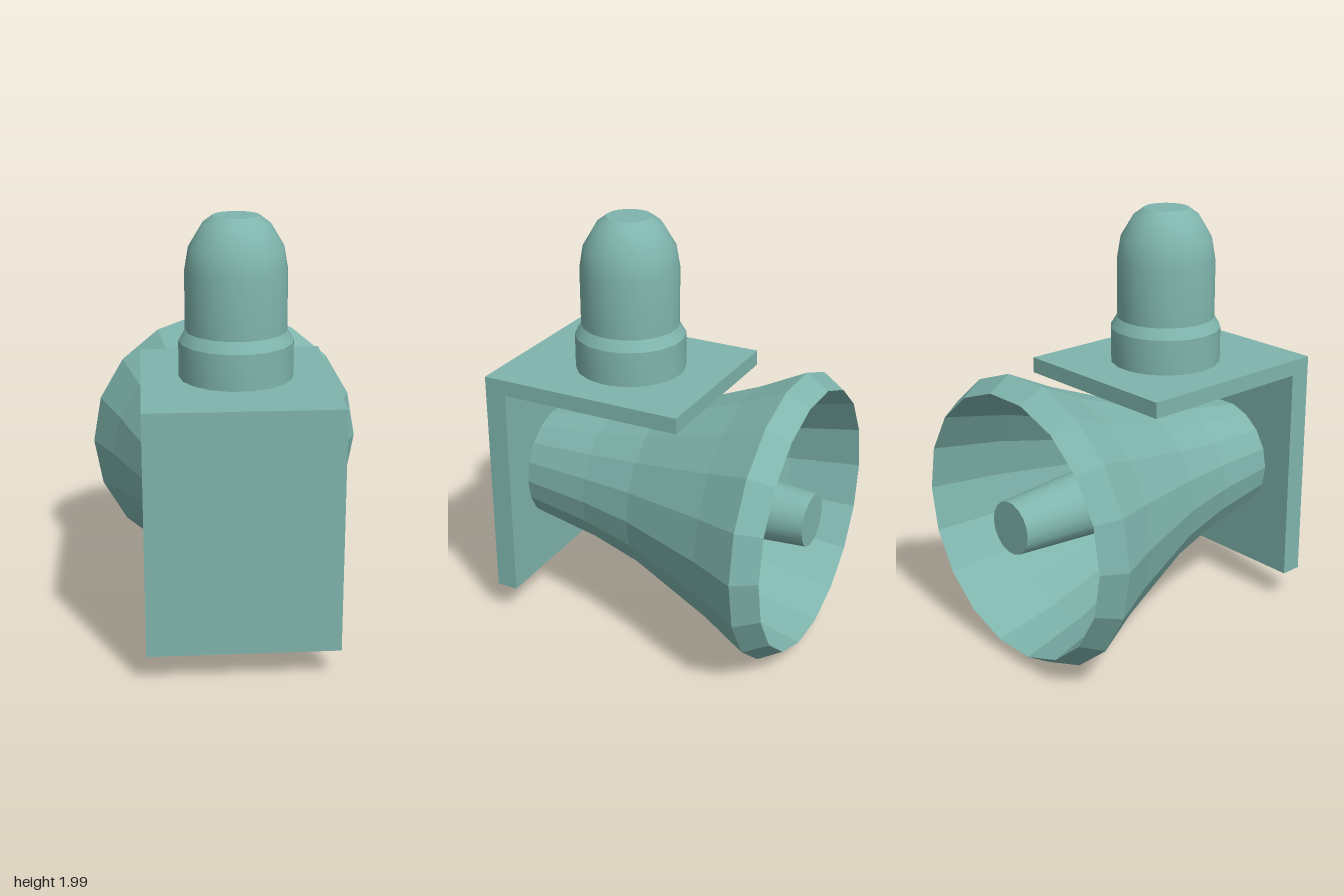
import * as THREE from 'three';
import { toCreasedNormals } from 'three/addons/utils/BufferGeometryUtils.js';

const SIDES = 18;
const COLOR = 0x7fb5ad;

// Turned part; profile points are [radius, height along the axis]
function turned(profile, crease) {
  const points = profile.map(([r, h]) => new THREE.Vector2(r, h));
  const geometry = new THREE.LatheGeometry(points, SIDES, Math.PI / 2);
  return crease ? toCreasedNormals(geometry, crease) : geometry;
}

export function createModel() {
  const group = new THREE.Group();
  const smooth = new THREE.MeshStandardMaterial({ color: COLOR });
  const faceted = new THREE.MeshStandardMaterial({ color: COLOR, flatShading: true });

  function add(name, geometry, material, x, y, z) {
    const mesh = new THREE.Mesh(geometry, material);
    mesh.name = name;
    mesh.position.set(x, y, z);
    group.add(mesh);
    return mesh;
  }

  // L-shaped bracket
  add('mountingPlate', new THREE.BoxGeometry(0.865, 1.125, 0.105), faceted, 0, 0.7125, 0.6875);
  add('topPlate', new THREE.BoxGeometry(0.865, 0.075, 0.885), faceted, 0, 1.2375, 0.1925);

  // Beacon standing on the top plate
  const beacon = turned([
    [0, 0], [0.26, 0], [0.26, 0.165], [0.23, 0.215], [0.23, 0.485],
    [0.212, 0.59], [0.152, 0.69], [0.105, 0.725], [0, 0.725],
  ], 0.5);
  add('beacon', beacon, smooth, 0, 1.275, 0.207);

  // Flared horn: outer wall, lip, then inner wall back to the throat
  const horn = turned([
    [0.279, -0.635], [0.335, -0.295], [0.406, -0.02], [0.577, 0.41],
    [0.685, 0.63], [0.62, 0.74],
    [0.54, 0.41], [0.375, -0.02], [0.305, -0.295], [0.25, -0.635],
  ]);
  add('horn', horn, faceted, 0, 0.68, 0).rotation.x = -Math.PI / 2;

  // Tapered core inside the horn
  const core = turned([[0.22, -0.635], [0.125, 0.735], [0, 0.735]], 0.5);
  add('hornCore', core, smooth, 0, 0.68, 0).rotation.x = -Math.PI / 2;

  return group;
}
